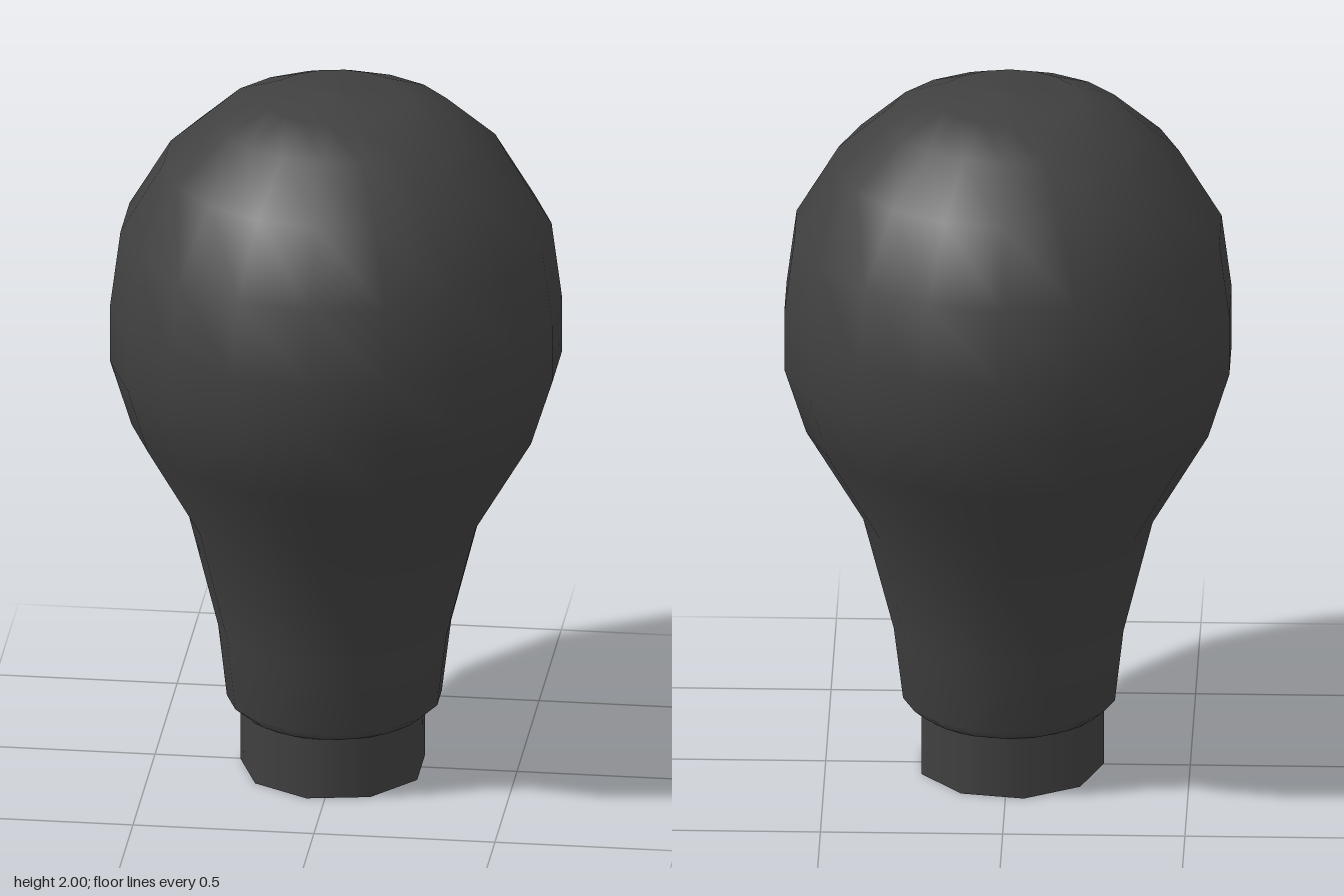
import * as THREE from 'three';

export function createModel() {
  const group = new THREE.Group();
  const dark = new THREE.MeshStandardMaterial({ color: 0x404040, side: THREE.DoubleSide });

  const add = (name, geometry, x = 0, y = 0, z = 0) => {
    const mesh = new THREE.Mesh(geometry, dark);
    mesh.name = name;
    mesh.position.set(x, y, z);
    group.add(mesh);
  };

  // Glass bulb: [radius, height] from the neck rim up to the crown
  const profile = [
    [0.26, 0.18], [0.295, 0.21], [0.32, 0.42], [0.403, 0.75], [0.56, 1.02], [0.62, 1.21],
    [0.62, 1.38], [0.592, 1.595], [0.474, 1.795], [0.33, 1.925], [0.195, 1.983], [0, 2],
  ].map(([r, y]) => new THREE.Vector2(r, y));
  const bulb = new THREE.LatheGeometry(profile, 18);

  // The neck leans very slightly off the axis to meet the base
  const p = bulb.attributes.position;
  for (let i = 0; i < p.count; i++) {
    const lean = 0.005 * Math.max(0, 1 - p.getY(i) / 1.2);
    p.setX(i, p.getX(i) - lean);
    p.setZ(i, p.getZ(i) + lean);
  }
  add('bulb', bulb);

  // Underside of the neck, seen through the open base
  add('neckUnderside', new THREE.CircleGeometry(0.26, 18).rotateX(Math.PI / 2), -0.005, 0.18, 0.005);

  // Nine-sided base sleeve, open at the bottom
  add('base', new THREE.CylinderGeometry(0.257, 0.257, 0.18, 9, 1, true, -Math.PI / 2), -0.006, 0.09, 0.004);

  return group;
}
